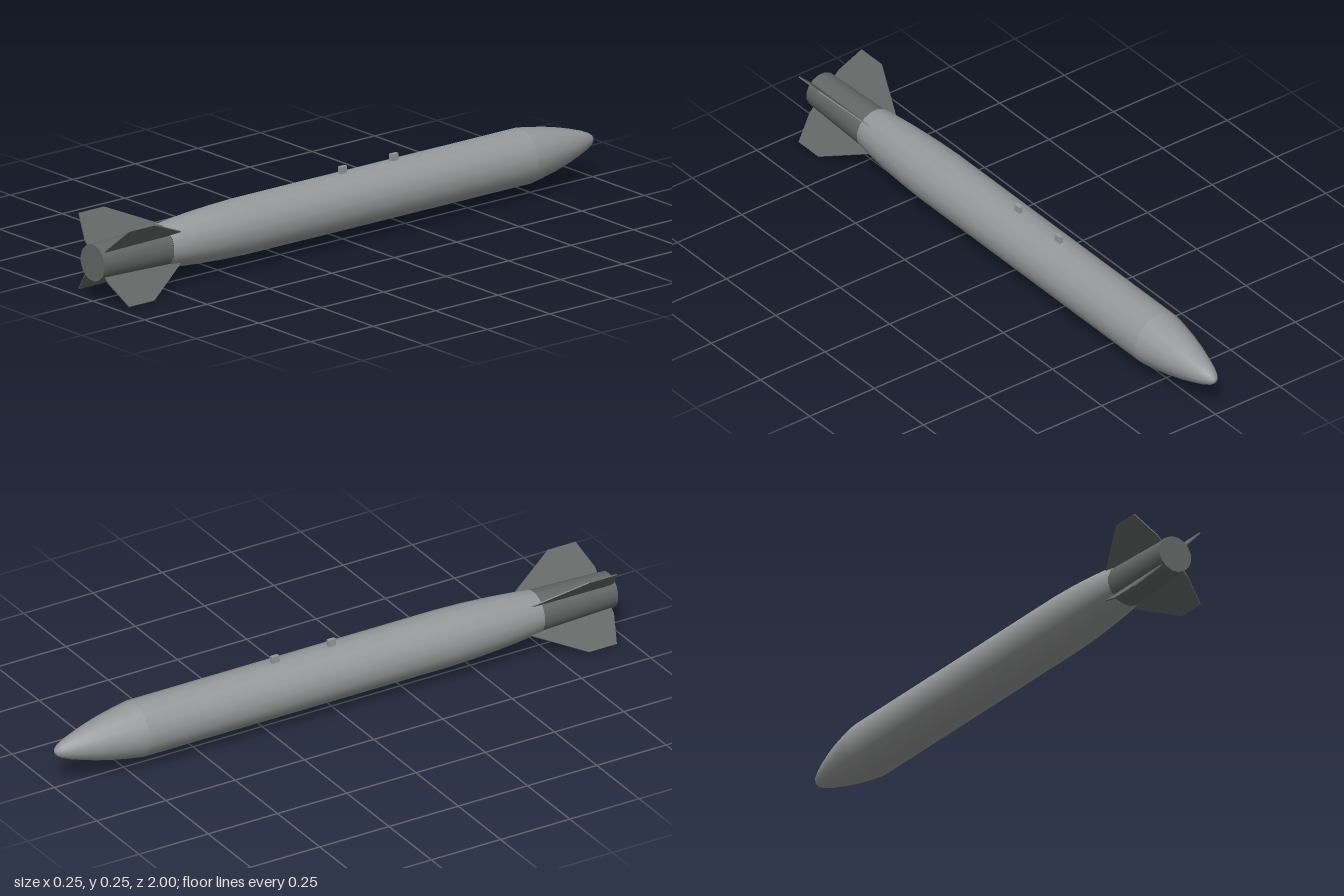
import * as THREE from 'three';

const AXIS_Y = 0.1245;
const SIDES = 16;

export function createModel() {
  const model = new THREE.Group();
  model.name = 'finnedStore';
  const bodyGrey = new THREE.MeshStandardMaterial({ color: 0x979899 });
  bodyGrey.name = 'bodyGrey';
  const tailGrey = new THREE.MeshStandardMaterial({ color: 0x636765 });
  tailGrey.name = 'tailGrey';

  const add = (name, geometry, material) => {
    const mesh = new THREE.Mesh(geometry, material);
    mesh.name = name;
    model.add(mesh);
    return mesh;
  };

  // Turned section along z, from [radius, z] pairs ordered nose to tail
  const section = (name, profile, material) => {
    const points = profile.map(([r, z]) => new THREE.Vector2(r, z));
    const geometry = new THREE.LatheGeometry(points, SIDES, Math.PI / SIDES);
    geometry.rotateX(Math.PI / 2);
    add(name, geometry, material).position.y = AXIS_Y;
  };

  // Hull: rounded nose, straight barrel sections, tapering rear
  section('noseCone', [[0, -1], [0.012, -0.995], [0.022, -0.982], [0.034, -0.955], [0.047, -0.915],
    [0.06, -0.87], [0.073, -0.815], [0.083, -0.76], [0.091, -0.71]], bodyGrey);
  section('guidanceSection', [[0.091, -0.71], [0.091, -0.465]], bodyGrey);
  section('centreSection', [[0.091, -0.465], [0.091, 0.235]], bodyGrey);
  section('rearSection', [[0.091, 0.235], [0.091, 0.4], [0.088, 0.5], [0.082, 0.6],
    [0.075, 0.68], [0.069, 0.73]], bodyGrey);

  // Tail cone and its flat end
  section('tailCone', [[0.068, 0.73], [0.059, 1]], tailGrey);
  section('tailEnd', [[0.059, 1], [0, 1]], tailGrey);

  // Four fins in an X, drawn as (z, radius) outlines
  const outline = new THREE.Shape([[0.69, 0.05], [0.69, 0.073], [0.855, 0.173], [0.955, 0.173],
    [0.985, 0.08], [0.985, 0.05]].map(([z, r]) => new THREE.Vector2(z, r)));
  const thickness = 0.004;
  const finGeometry = new THREE.ExtrudeGeometry(outline, { depth: thickness, bevelEnabled: false });
  finGeometry.translate(0, 0, -thickness / 2);
  finGeometry.rotateY(-Math.PI / 2);
  for (let i = 0; i < 4; i++) {
    const fin = add('fin' + (i + 1), finGeometry, tailGrey);
    fin.position.y = AXIS_Y;
    fin.rotation.z = Math.PI / 4 + i * Math.PI / 2;
  }

  // Suspension lugs on the spine
  for (const [name, z] of [['rearLug', 0], ['frontLug', -0.205]]) {
    add(name, new THREE.BoxGeometry(0.013, 0.03, 0.026), bodyGrey).position.set(0, 0.221, z);
  }
  return model;
}
